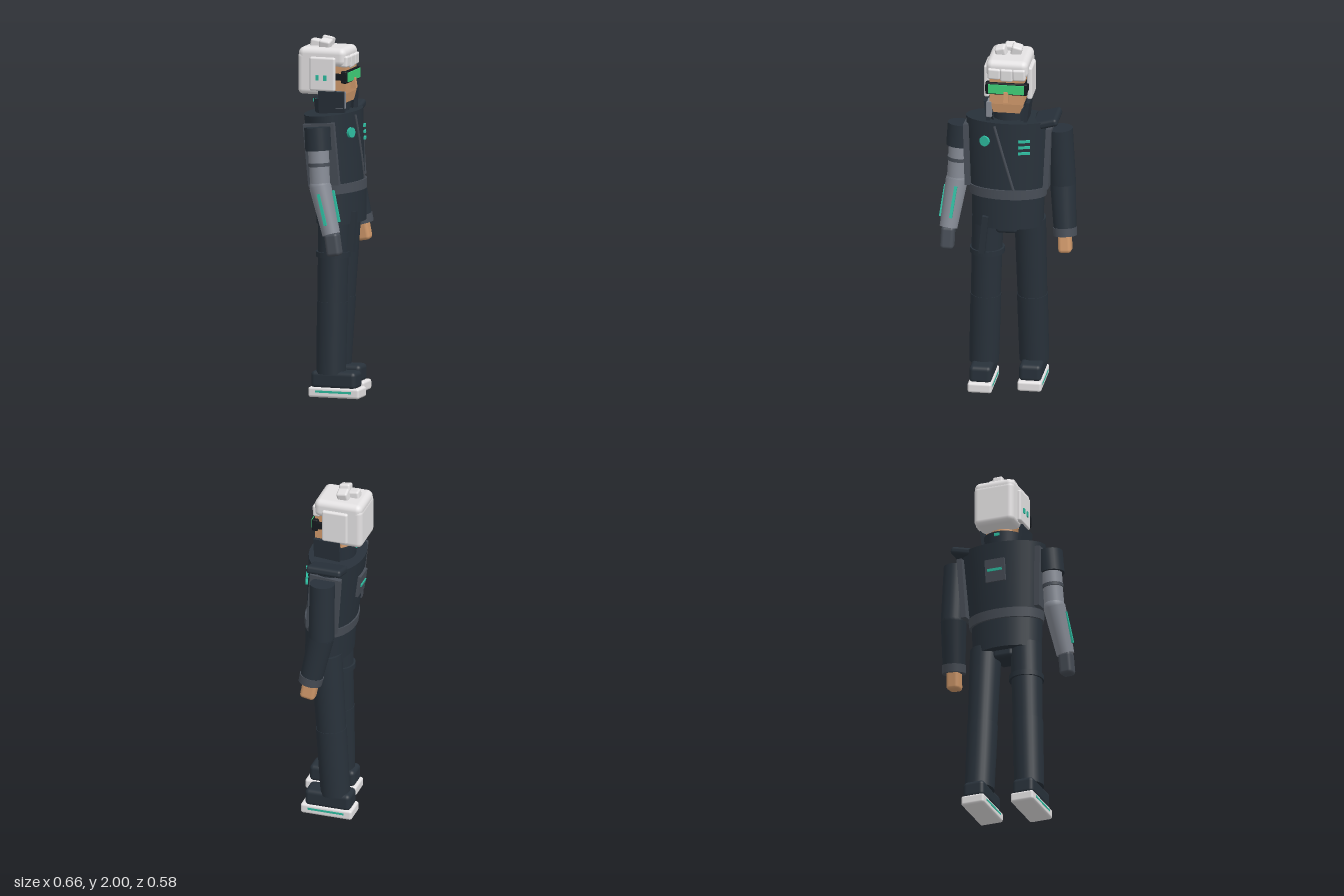
import * as THREE from 'three';
import { RoundedBoxGeometry } from 'three/addons/geometries/RoundedBoxGeometry.js';

const paint = (name, color) => new THREE.MeshStandardMaterial({ name, color });

export function createModel() {
  const cloth = paint('dark cloth', 0x28313a);
  const trim = paint('grey trim', 0x474d56);
  const metal = paint('light metal', 0x858a94);
  const white = paint('white', 0xe4e2e3);
  const skin = paint('skin', 0xcf986a);
  const teal = paint('teal light', 0x2dbb9f);
  const green = paint('green lens', 0x3fcf78);
  const black = paint('black frame', 0x15191e);
  const collarCloth = paint('collar cloth', 0x28313b);
  collarCloth.side = THREE.DoubleSide;

  const root = new THREE.Group();
  const body = new THREE.Group();
  body.name = 'figure';
  body.rotation.y = THREE.MathUtils.degToRad(35);
  root.add(body);

  const add = (name, geo, mat, pos = [0, 0, 0], rot = [0, 0, 0]) => {
    const m = new THREE.Mesh(geo, mat);
    m.name = name;
    m.position.set(...pos);
    m.rotation.set(...rot);
    body.add(m);
    return m;
  };
  const box = (name, size, mat, pos, rot) => add(name, new THREE.BoxGeometry(...size), mat, pos, rot);
  const soft = (name, size, r, mat, pos, rot) =>
    add(name, new RoundedBoxGeometry(...size, 3, r), mat, pos, rot);
  // Tapered cylinder from point a to point b, flattened in depth
  const limb = (name, a, b, ra, rb, mat, depth = 1) => {
    const A = new THREE.Vector3(...a), B = new THREE.Vector3(...b);
    const dir = B.clone().sub(A);
    const geo = new THREE.CylinderGeometry(rb, ra, dir.length(), 28);
    geo.scale(1, 1, depth);
    const m = add(name, geo, mat, A.clone().add(B).multiplyScalar(0.5).toArray());
    m.quaternion.setFromUnitVectors(new THREE.Vector3(0, 1, 0), dir.normalize());
    return m;
  };
  const mix = (a, b, t) => a.map((v, i) => v + (b[i] - v) * t);

  // Torso, belt and pelvis
  limb('torso', [0, 1.17, -0.02], [0, 1.585, -0.053], 0.213, 0.243, cloth, 0.63);
  limb('belt', [0, 1.142, -0.016], [0, 1.196, -0.02], 0.216, 0.22, trim, 0.66);
  limb('pelvis', [0, 0.97, -0.006], [0, 1.15, -0.012], 0.2, 0.205, cloth, 0.65);
  soft('crotch', [0.12, 0.08, 0.15], 0.02, cloth, [0, 0.965, -0.01]);
  const chestZ = (x, y) => {
    const k = (y - 1.17) / 0.415, a = 0.213 + 0.03 * k;
    return -0.02 - 0.033 * k + 0.63 * a * Math.sqrt(1 - (x / a) ** 2);
  };
  for (const s of [-1, 1])
    box('torsoSidePanel', [0.03, 0.35, 0.18], trim, [s * 0.226, 1.37, -0.045], [-0.08, 0, s * -0.04]);

  // Chest details
  const seam = [];
  for (let i = 0; i <= 6; i++) {
    const x = -0.062 + 0.02 * i, y = 1.58 - 0.068 * i;
    seam.push(new THREE.Vector3(x, y, chestZ(x, y)));
  }
  add('chestStrap', new THREE.TubeGeometry(new THREE.CatmullRomCurve3(seam), 12, 0.008, 6), trim);
  const badge = new THREE.CylinderGeometry(0.029, 0.029, 0.02, 20).rotateX(Math.PI / 2);
  add('chestLight', badge, teal, [-0.116, 1.485, chestZ(-0.116, 1.485) + 0.004], [-0.05, -0.33, 0]);
  for (const y of [1.495, 1.46, 1.425])
    box('chestStripe', [0.066, 0.013, 0.014], teal, [0.105, y, chestZ(0.105, y) + 0.005], [-0.05, 0.3, 0]);
  box('backPanel', [0.116, 0.13, 0.03], trim, [0, 1.41, -0.182], [-0.14, 0, 0]);
  box('backLight', [0.085, 0.015, 0.008], teal, [0, 1.41, -0.199], [-0.14, 0, 0]);

  // Neck, low collar ring and flared collar wings
  limb('neck', [0, 1.62, -0.055], [0, 1.72, -0.05], 0.08, 0.08, skin);
  limb('neckCover', [0, 1.55, -0.055], [0, 1.645, -0.05], 0.092, 0.085, cloth);
  add('collar', new THREE.CylinderGeometry(0.118, 0.108, 0.09, 28, 1, true, 0.75, Math.PI * 2 - 1.5),
    collarCloth, [0, 1.615, -0.045]);
  for (const s of [-1, 1])
    box('collarWing', [0.02, 0.14, 0.15], cloth, [s * 0.11, 1.64, -0.025], [0, 0, s * -0.12]);
  box('collarLight', [0.03, 0.016, 0.008], teal, [0, 1.64, -0.164]);
  soft('neckModule', [0.035, 0.1, 0.06], 0.008, metal, [-0.1, 1.66, 0.022]);
  soft('shoulderGuard', [0.145, 0.045, 0.205], 0.018, cloth, [0.212, 1.58, -0.058], [0, 0, 0.26]);

  // Head with a tapered jaw
  box('face', [0.19, 0.16, 0.15], skin, [0, 1.775, -0.025]);
  const jawGeo = new THREE.BoxGeometry(0.19, 0.055, 0.15);
  const jp = jawGeo.attributes.position;
  for (let i = 0; i < jp.count; i++)
    if (jp.getY(i) < 0) { jp.setX(i, jp.getX(i) * 0.78); jp.setZ(i, jp.getZ(i) * 0.88); }
  jawGeo.computeVertexNormals();
  add('jaw', jawGeo, skin, [0, 1.669, -0.025]);
  box('nose', [0.026, 0.06, 0.04], skin, [0, 1.745, 0.06], [-0.15, 0, 0]);

  // Visor
  soft('visorFrame', [0.235, 0.07, 0.035], 0.008, black, [0, 1.79, 0.046]);
  box('visorLens', [0.2, 0.052, 0.009], green, [0, 1.79, 0.066]);
  for (const s of [-1, 1]) box('visorArm', [0.025, 0.035, 0.12], black, [s * 0.106, 1.79, 0.0]);

  // Hair
  soft('hairTop', [0.236, 0.105, 0.28], 0.035, white, [0, 1.897, -0.086]);
  soft('hairBack', [0.236, 0.24, 0.15], 0.03, white, [0, 1.805, -0.153]);
  for (const s of [-1, 1])
    soft('hairSide', [0.03, 0.19, 0.15], 0.012, white, [s * 0.121, 1.805, -0.075]);
  for (const [x, h] of [[-0.07, 0.065], [0, 0.075], [0.07, 0.068]])
    soft('fringe', [0.072, h, 0.045], 0.012, white, [x, 1.908 - h / 2, 0.041], [0.05, 0, x * 0.6]);
  for (const [x, z, r, y] of [[-0.008, -0.149, 0, 1.95], [0.035, -0.097, -0.25, 1.962], [-0.048, -0.083, 0.25, 1.957]])
    soft('hairTuft', [0.06, 0.07, 0.064], 0.012, white, [x, y, z], [0.15, 0, r]);
  for (const z of [-0.102, -0.056])
    box('headLight', [0.008, 0.03, 0.018], teal, [-0.138, 1.785, z]);

  // Left sleeve and hand
  const elbowL = [0.302, 1.2, -0.056], wristL = [0.323, 0.915, 0.002];
  limb('leftUpperArm', elbowL, [0.286, 1.53, -0.056], 0.072, 0.07, cloth);
  add('leftElbow', new THREE.SphereGeometry(0.072, 24, 12), cloth, elbowL);
  limb('leftForearm', wristL, elbowL, 0.062, 0.072, cloth);
  limb('leftCuff', mix(wristL, elbowL, -0.01), mix(wristL, elbowL, 0.15), 0.066, 0.068, trim);
  soft('leftHand', [0.073, 0.14, 0.085], 0.02, skin, [0.322, 0.885, 0.004], [-0.17, 0, 0.06]);

  // Right mechanical arm built from stacked sections
  const shoulderR = [-0.272, 1.53, -0.055], elbowR = [-0.291, 1.2, -0.03];
  const wristR = [-0.326, 0.94, 0.047];
  const sections = [
    ['rightShoulderCap', 0, 0.39, 0.073, cloth], ['rightArmSleeve', 0.39, 0.62, 0.058, metal],
    ['rightArmRing', 0.6, 0.66, 0.061, trim], ['rightArmLower', 0.66, 1, 0.056, metal],
  ];
  for (const [name, t0, t1, r, mat] of sections)
    limb(name, mix(shoulderR, elbowR, t1), mix(shoulderR, elbowR, t0), r, r, mat);
  add('rightElbow', new THREE.SphereGeometry(0.06, 24, 12), metal, elbowR);
  limb('rightForearm', wristR, elbowR, 0.05, 0.062, metal);
  const tilt = [-0.28, 0, -0.12];
  const mid = mix(elbowR, wristR, 0.46);
  box('forearmFrontLight', [0.016, 0.18, 0.016], teal, [mid[0] + 0.01, mid[1] + 0.015, mid[2] + 0.058], [-0.25, 0, -0.13]);
  box('forearmSideLight', [0.016, 0.18, 0.016], teal, [mid[0] - 0.056, mid[1], mid[2]], tilt);
  soft('rightHand', [0.075, 0.13, 0.08], 0.02, trim, [-0.328, 0.885, 0.06], [-0.15, 0, -0.03]);

  // Legs and shoes, the right foot a step ahead
  for (const [side, s, hipX, hipZ, ankleZ] of [['left', 1, 0.122, -0.025, -0.083], ['right', -1, 0.114, -0.012, -0.02]]) {
    const hip = [s * hipX, 1.0, hipZ], ankle = [s * 0.136, 0.13, ankleZ];
    const knee = mix(hip, ankle, 0.54);
    limb(side + 'Thigh', knee, hip, 0.083, 0.088, cloth);
    limb(side + 'Shin', ankle, mix(hip, ankle, 0.535), 0.083, 0.086, cloth);
    const fz = ankleZ + 0.035;
    soft(side + 'Sole', [0.136, 0.058, 0.3], 0.014, white, [s * 0.135, 0.029, fz]);
    soft(side + 'Shoe', [0.126, 0.1, 0.265], 0.025, cloth, [s * 0.135, 0.098, fz - 0.005]);
    for (const e of [-1, 1])
      box(side + 'SoleLight', [0.008, 0.012, 0.21], teal, [s * 0.135 + e * 0.0655, 0.034, fz]);
  }

  // Thigh strap and holster on the right leg
  limb('thighStrap', [-0.117, 0.785, -0.014], [-0.117, 0.815, -0.014], 0.097, 0.097, cloth);
  box('holster', [0.035, 0.225, 0.035], cloth, [-0.12, 0.93, 0.1], [0.03, 0, -0.1]);

  return root;
}
